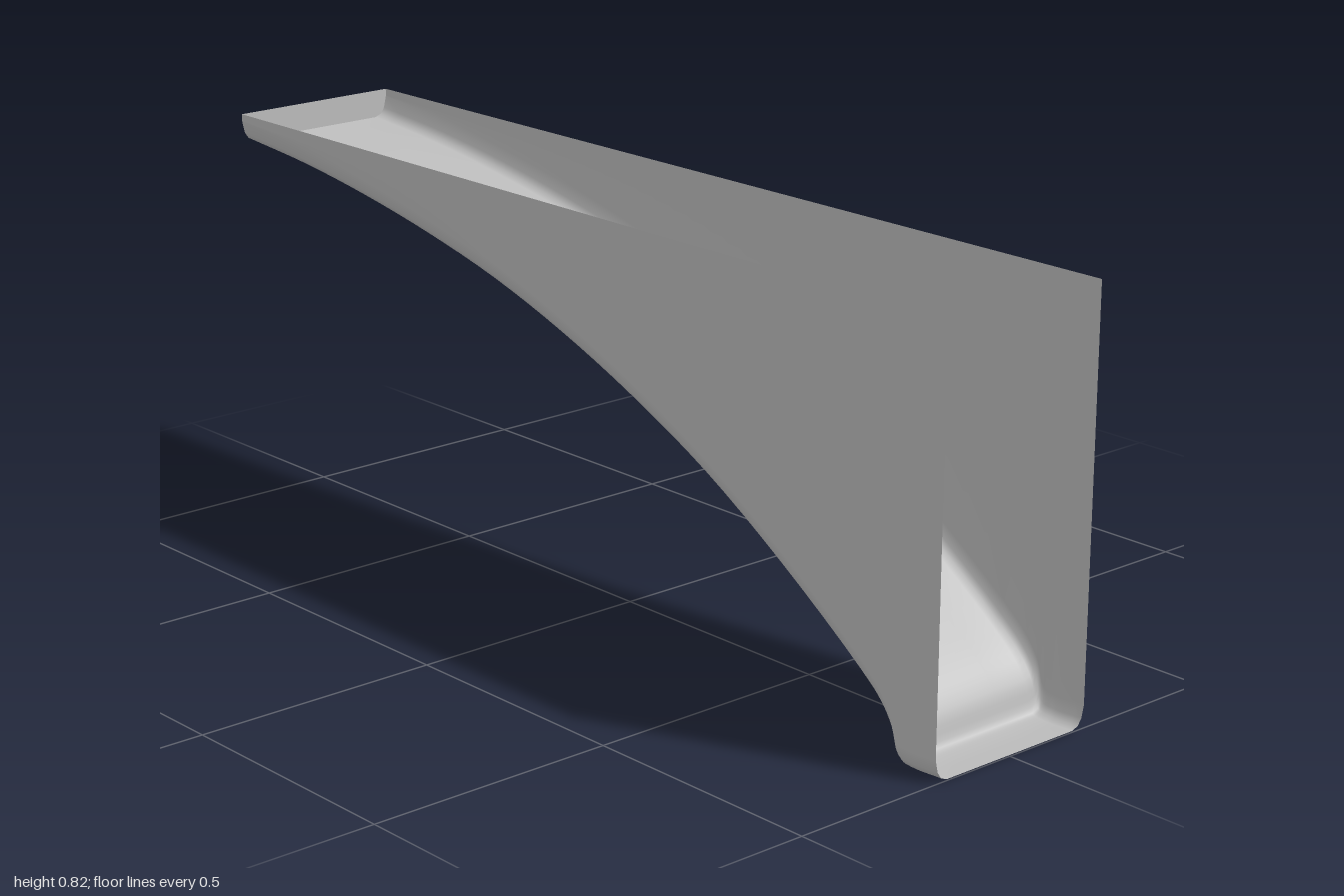
import * as THREE from 'three';

const TOP = 0.825;

// Underside of the arch, from the shallow end to the foot: x, y
const ARCH = [
  [-1, 0.768], [-0.8, 0.75], [-0.6, 0.722], [-0.4, 0.685], [-0.2, 0.638], [0, 0.575],
  [0.2, 0.497], [0.4, 0.403], [0.6, 0.284], [0.8, 0.146], [0.86, 0.095], [0.888, 0.055],
  [0.905, 0.008], [0.93, 0.002], [1, 0.004],
];

// U-shaped section with rounded lower corners, front rim to back rim: z, y
function section(x, y) {
  const front = 0.18 + 0.003 * (x + 1), back = -0.189;
  const rise = 0.036, inset = 0.028;
  const wall = (z) => [
    [z, TOP], [z, y + (TOP - y) * 0.75], [z, y + rise + 0.006],
    [z - Math.sign(z) * inset * 0.2, y + rise * 0.5],
    [z - Math.sign(z) * inset * 0.5, y + rise * 0.16],
    [z - Math.sign(z) * inset, y],
  ];
  return [...wall(front), [0.08, y], [-0.08, y], ...wall(back).reverse()];
}

export function createModel() {
  const group = new THREE.Group();
  group.name = 'archBracket';
  const grey = new THREE.MeshStandardMaterial({ color: 0xbcbcbc, side: THREE.DoubleSide });
  grey.name = 'plain grey';

  const curve = new THREE.CatmullRomCurve3(ARCH.map(([x, y]) => new THREE.Vector3(x, y, 0)), false, 'centripetal');
  const stations = curve.getPoints((ARCH.length - 1) * 4);

  // Side walls and curved floor, joined section by section
  const positions = [], index = [];
  const n = section(0, 0.5).length;
  stations.forEach((p, i) => {
    section(p.x, p.y).forEach(([z, y]) => positions.push(p.x, y, z));
    if (i === 0) return;
    for (let j = 0; j < n - 1; j++) {
      const a = (i - 1) * n + j, c = a + n;
      index.push(a, a + 1, c, a + 1, c + 1, c);
    }
  });
  const shellGeometry = new THREE.BufferGeometry();
  shellGeometry.setAttribute('position', new THREE.Float32BufferAttribute(positions, 3));
  shellGeometry.setIndex(index);
  shellGeometry.computeVertexNormals();
  const shell = new THREE.Mesh(shellGeometry, grey);
  shell.name = 'archShell';
  group.add(shell);

  // Short wall closing the shallow end; the tall end and the top stay open
  const outline = section(-1, ARCH[0][1]).map(([z, y]) => new THREE.Vector2(z, y));
  const endWall = new THREE.Mesh(new THREE.ShapeGeometry(new THREE.Shape(outline)).rotateY(-Math.PI / 2), grey);
  endWall.name = 'endWall';
  endWall.position.x = -1;
  group.add(endWall);

  return group;
}
